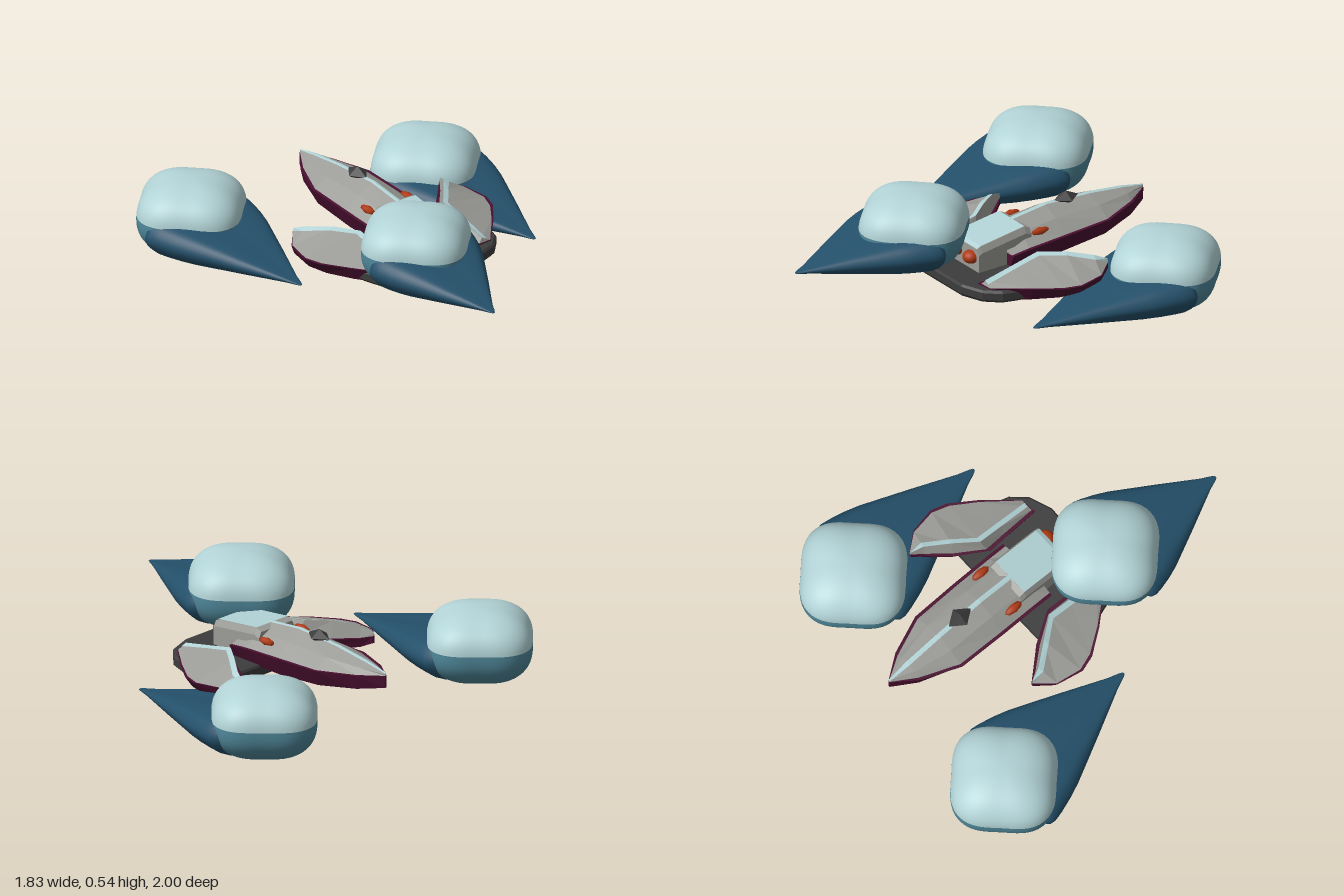
import * as THREE from 'three';
import { mergeVertices } from 'three/addons/utils/BufferGeometryUtils.js';

const mat = (name, color, flatShading = false) =>
  Object.assign(new THREE.MeshStandardMaterial({ color, flatShading, side: THREE.DoubleSide }), { name });

// Skin a list of cross-sections (arrays of [x, y, z])
function loft(sections, { closed = true, caps = false, smooth = false } = {}) {
  let rows = sections;
  if (caps) {
    const collapse = (s) => {
      const c = [0, 1, 2].map((k) => s.reduce((a, p) => a + p[k], 0) / s.length);
      return s.map(() => c);
    };
    rows = [collapse(rows[0]), ...rows, collapse(rows[rows.length - 1])];
  }
  const n = rows[0].length;
  const index = [];
  for (let i = 0; i < rows.length - 1; i++) {
    for (let j = 0; j < (closed ? n : n - 1); j++) {
      const a = i * n + j, b = i * n + (j + 1) % n;
      index.push(a, b, a + n, b, b + n, a + n);
    }
  }
  let g = new THREE.BufferGeometry();
  g.setAttribute('position', new THREE.Float32BufferAttribute(rows.flat(2), 3));
  g.setIndex(index);
  g = smooth ? mergeVertices(g, 1e-5) : g.toNonIndexed();
  g.computeVertexNormals();
  return g;
}

// Half of a pod: superellipse profile, with a rounded-diamond plan
function podShell(yFrom, yTo) {
  const R = 0.283, H = 0.178, p = 2.3, pts = [];
  for (let i = 0; i <= 20; i++) {
    const a = Math.asin(yFrom / H) + (Math.asin(yTo / H) - Math.asin(yFrom / H)) * i / 20;
    const s = Math.min(1, Math.abs(Math.sin(a)));
    pts.push(new THREE.Vector2(R * Math.pow(Math.max(0, 1 - s ** p), 1 / p), H * Math.sin(a)));
  }
  let g = new THREE.LatheGeometry(pts, 64);
  const pos = g.attributes.position;
  for (let i = 0; i < pos.count; i++) {
    const k = 0.935 + 0.065 * Math.cos(4 * Math.atan2(pos.getZ(i), pos.getX(i)));
    pos.setX(i, pos.getX(i) * k);
    pos.setZ(i, pos.getZ(i) * k);
  }
  g.deleteAttribute('uv');
  g.deleteAttribute('normal');
  g = mergeVertices(g, 1e-5);
  g.computeVertexNormals();
  return g;
}

// Long tapering cone in front of a pod
function podCone(length, drift) {
  const half = [[0, 0.042], [0.16, 0.044], [0.26, 0.022], [0.297, -0.045], [0.22, -0.135]];
  const outline = [...half, [0, -0.175], ...half.slice(1).reverse().map(([x, y]) => [-x, y])];
  const curve = new THREE.CatmullRomCurve3(outline.map(([x, y]) => new THREE.Vector3(x, y, 0)), true);
  const ring = curve.getPoints(48).slice(0, 48);
  const taper = [[-0.03, 0.9], [0, 0.985], [0.04, 1], [0.1, 0.97], [0.2, 0.9], [0.3, 0.81],
    [0.6, 0.47], [0.9, 0.12], [0.97, 0.055], [0.995, 0.025], [1, 0]];
  return loft(taper.map(([t, s]) => ring.map((q) =>
    [q.x * s + drift * t, -0.08 + (q.y + 0.08) * s, 0.03 + (length - 0.03) * t])), { smooth: true });
}

export function createModel() {
  const pale = mat('pale aqua', 0xb2d3d6);
  const teal = mat('teal', 0x4f8799);
  const blue = mat('deep blue', 0x24506a);
  const grey = mat('hull grey', 0x9c9c98, true);
  const plum = mat('plum', 0x4a1030, true);
  const dark = mat('charcoal', 0x3c3c3c, true);
  const red = mat('rust red', 0xb03a14);

  const model = new THREE.Group();
  model.name = 'podShip';
  const add = (parent, name, geo, material, x = 0, y = 0, z = 0) => {
    const m = new THREE.Mesh(geo, material);
    m.name = name;
    m.position.set(x, y, z);
    parent.add(m);
    return m;
  };

  // Three pods: x, y, z, cone length, sideways drift of the tip
  const split = 0.02;
  const upper = podShell(split, 0.178), lower = podShell(-0.178, split);
  [[-0.62, 0.253, -0.72, 0.785, 0.045], [0.615, 0.183, -0.553, 0.785, 0.04], [-0.125, 0.362, 0.35, 0.65, -0.04]]
    .forEach(([x, y, z, length, drift], i) => {
      const pod = new THREE.Group();
      pod.name = 'pod' + (i + 1);
      pod.position.set(x, y, z);
      add(pod, 'podTop', upper, pale);
      add(pod, 'podBottom', lower, teal);
      add(pod, 'podCone', podCone(length, drift), blue);
      model.add(pod);
    });

  // Central craft
  const craft = new THREE.Group();
  craft.name = 'craft';
  craft.position.x = 0.08;
  model.add(craft);

  // Base plate with a chamfered lower edge
  const side = [[0.3, -0.12], [0.42, -0.06], [0.385, 0.08], [0.37, 0.16], [0.345, 0.24], [0.28, 0.31], [0.17, 0.35]];
  const plan = [...side, ...side.map(([x, z]) => [-x, z]).reverse()];
  add(craft, 'basePlate', loft([[0.96, 0.14], [1, 0.155], [1, 0.19], [0.97, 0.2]].map(([s, y]) =>
    plan.map(([x, z]) => [x * s, y, 0.1 + (z - 0.1) * s])), { caps: true }), dark);

  // Nose: z, half width, bottom, rim, ridge
  const nose = [[0.05, 0.17, 0.19, 0.26, 0.3], [-0.05, 0.17, 0.19, 0.27, 0.36], [-0.25, 0.17, 0.19, 0.28, 0.382],
    [-0.5, 0.165, 0.21, 0.29, 0.368], [-0.69, 0.09, 0.23, 0.3, 0.345], [-0.81, 0.005, 0.25, 0.31, 0.322]];
  add(craft, 'noseHull', loft(nose.map(([z, w, b, r]) =>
    [[-w, r, z], [-w * 0.8, b, z], [w * 0.8, b, z], [w, r, z]]), { caps: true }), plum);
  add(craft, 'noseTop', loft(nose.map(([z, w, , r, t]) => {
    const e = Math.max(w - 0.016, 0.002), m = r + (t - r) * 0.58;
    return [[e, r, z], [w * 0.5, m, z], [0, t, z], [-w * 0.5, m, z], [-e, r, z]];
  }), { caps: true }), grey);
  add(craft, 'noseStripe', loft(nose.slice(1).map(([z, w, , , t]) => {
    const s = Math.min(0.012, w);
    return [[s, t + 0.001, z], [0, t + 0.004, z], [-s, t + 0.001, z]];
  }), { closed: false }), pale);
  add(craft, 'noseCrystal', new THREE.OctahedronGeometry(1), dark, 0, 0.38, -0.37).scale.set(0.05, 0.035, 0.07);

  // Cockpit block: chamfered body with a pale roof plate
  const cabin = [[0.21, 0.315], [0.19, 0.325], [-0.06, 0.357], [-0.09, 0.345]];
  add(craft, 'cockpit', loft(cabin.map(([z, t]) =>
    [[0.115, 0.19, z], [0.115, t - 0.03, z], [0.1, t, z], [-0.1, t, z], [-0.115, t - 0.03, z], [-0.115, 0.19, z]]),
  { caps: true }), grey);
  add(craft, 'cockpitRoof', loft(cabin.slice(0, 3).map(([z, t]) =>
    [[0.1, t + 0.003, z], [-0.1, t + 0.003, z]]), { closed: false }), pale);

  // Wing stations: inner, ridge and outer (x, z), then bottom, rim and ridge heights
  const wing = [
    [[0.205, 0.28], [0.24, 0.265], [0.29, 0.27], 0.145, 0.205, 0.225],
    [[0.2, 0.1], [0.24, 0.1], [0.42, 0.12], 0.145, 0.21, 0.26],
    [[0.195, 0], [0.24, -0.03], [0.505, 0], 0.15, 0.21, 0.288],
    [[0.29, -0.155], [0.32, -0.135], [0.53, -0.08], 0.16, 0.212, 0.292],
    [[0.375, -0.25], [0.4, -0.24], [0.505, -0.21], 0.175, 0.22, 0.275],
    [[0.42, -0.3], [0.425, -0.3], [0.43, -0.3], 0.2, 0.235, 0.25]];
  const mix = (a, b, t) => [a[0] + (b[0] - a[0]) * t, a[1] + (b[1] - a[1]) * t];
  const at = ([x, z], y) => [x, y, z];
  const hull = loft(wing.map(([i, , o, b, r]) =>
    [at(i, r), at(mix(i, o, 0.08), b), at(mix(o, i, 0.15), b), at(o, r)]), { caps: true });
  const top = loft(wing.map(([i, m, o, , r, t]) =>
    [at(mix(o, i, 0.05), r), at(m, t), at(mix(i, m, 0.45), r)]), { caps: true });
  const stripe = loft(wing.map(([, m, o, , r, t]) => {
    const f = Math.min(1, 0.026 / Math.max(0.026, o[0] - m[0]));
    return [at(m, t + 0.003), at(mix(m, o, f), t + (r - t) * f + 0.003)];
  }), { closed: false });

  // Mirrored wings, lamps and thrusters
  for (const s of [1, -1]) {
    const w = new THREE.Group();
    w.name = s > 0 ? 'leftWing' : 'rightWing';
    w.scale.x = s;
    add(w, 'wingHull', hull, plum);
    add(w, 'wingTop', top, grey);
    add(w, 'wingStripe', stripe, pale);
    craft.add(w);
    add(craft, 'noseLamp', new THREE.OctahedronGeometry(1, 1), red, s * 0.115, 0.318, -0.14).scale.set(0.022, 0.018, 0.05);
    add(craft, 'frontLamp', new THREE.SphereGeometry(1, 20, 14), red, s * 0.058, 0.265, 0.215).scale.set(0.04, 0.032, 0.04);
  }
  return model;
}
